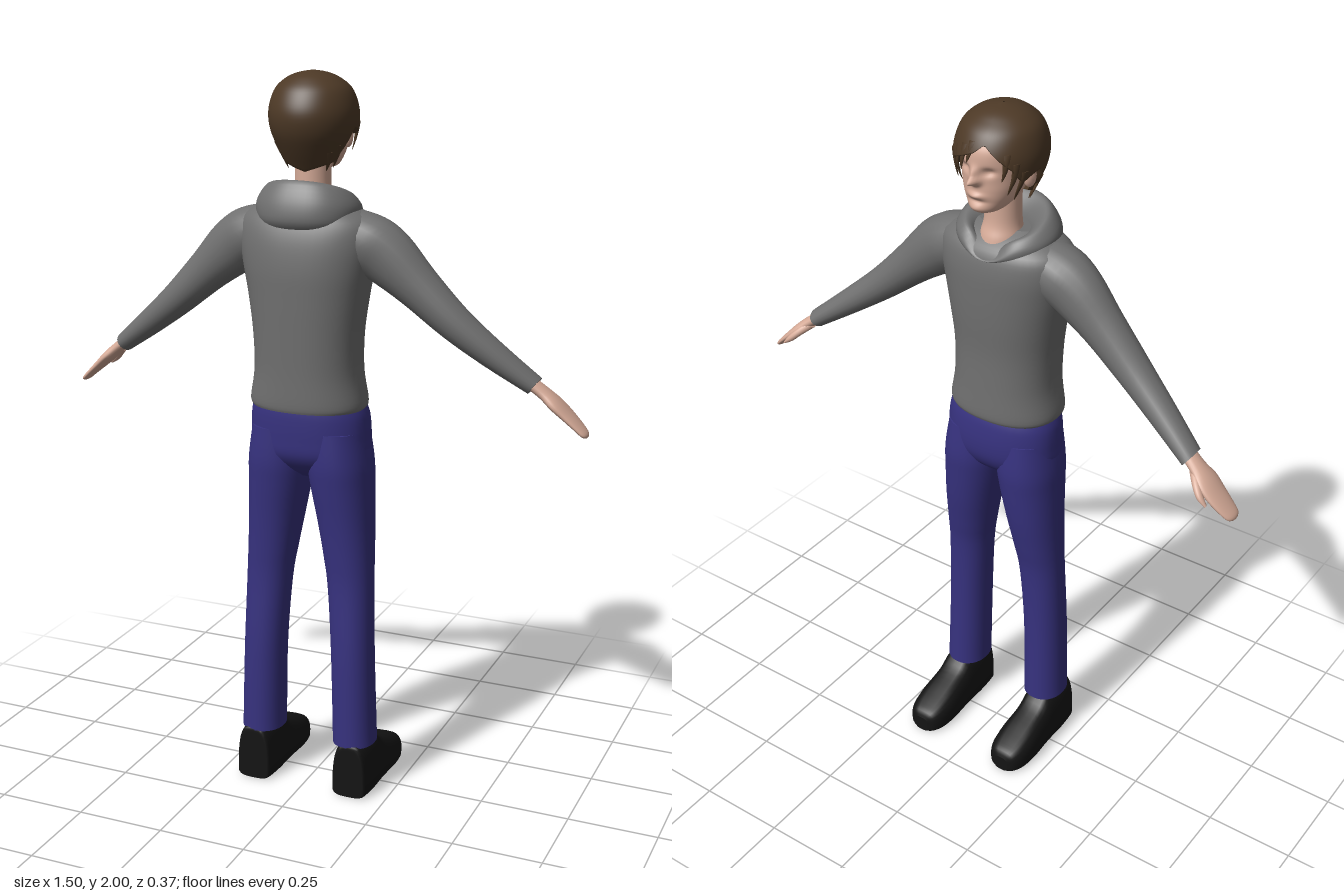
import * as THREE from 'three';

const mat = (color) => new THREE.MeshStandardMaterial({ color, side: THREE.DoubleSide });
const lerp = THREE.MathUtils.lerp;

// Smooth interpolation through rows of numbers, v in 0..1
function sample(rows, v) {
  const n = rows.length - 1, f = Math.min(v * n, n - 1e-6), i = Math.floor(f), t = f - i;
  const [p, a, b, q] = [rows[Math.max(i - 1, 0)], rows[i], rows[i + 1], rows[Math.min(i + 2, n)]];
  return a.map((_, k) => 0.5 * (2 * a[k] + (b[k] - p[k]) * t + (2 * p[k] - 5 * a[k] + 4 * b[k] - q[k]) * t * t
    + (3 * a[k] - p[k] - 3 * b[k] + q[k]) * t ** 3));
}

// Closed rings of points skinned into a surface, with optional flat caps
function skin(nu, nv, fn, caps = true) {
  const pos = [], idx = [];
  for (let j = 0; j <= nv; j++)
    for (let i = 0; i < nu; i++) pos.push(...fn((i / nu) * Math.PI * 2, j / nv));
  for (let j = 0; j < nv; j++)
    for (let i = 0; i < nu; i++) {
      const a = j * nu + i, b = j * nu + (i + 1) % nu;
      idx.push(a, b, a + nu, b, b + nu, a + nu);
    }
  if (caps) for (const j of [0, nv]) {
    const base = pos.length / 3, ring = pos.slice(j * nu * 3, (j + 1) * nu * 3), c = [0, 0, 0];
    ring.forEach((p, k) => { c[k % 3] += p / nu; });
    pos.push(...ring, ...c);
    for (let i = 0; i < nu; i++) {
      const a = base + i, b = base + (i + 1) % nu;
      idx.push(...(j ? [a, b, base + nu] : [b, a, base + nu]));
    }
  }
  // Turn the faces outward if the enclosed volume is negative
  const g = new THREE.BufferGeometry();
  g.setAttribute('position', new THREE.Float32BufferAttribute(pos, 3));
  g.computeBoundingBox();
  const mid = g.boundingBox.getCenter(new THREE.Vector3());
  const at = (i) => new THREE.Vector3().fromArray(pos, i * 3).sub(mid);
  let vol = 0;
  for (let k = 0; k < idx.length; k += 3) vol += at(idx[k]).dot(at(idx[k + 1]).cross(at(idx[k + 2])));
  g.setIndex(vol < 0 ? idx.reverse() : idx);
  g.computeVertexNormals();
  return g;
}

const pow = (c, e) => Math.sign(c) * Math.abs(c) ** e;

// Horizontal rings: [y, x0, x1, zFront, zBack]
const stack = (rows, e = 1, nu = 32, nv = 32) => skin(nu, nv, (t, v) => {
  const [y, x0, x1, zf, zb] = sample(rows, v);
  return [(x0 + x1) / 2 + (x1 - x0) / 2 * pow(Math.sin(t), e), y, (zf + zb) / 2 + (zf - zb) / 2 * pow(Math.cos(t), e)];
});
// The same, symmetric about x = 0: [y, halfWidth, zFront, zBack]
const trunk = (rows, e, nu, nv) => stack(rows.map(([y, r, f, b]) => [y, -r, r, f, b]), e, nu, nv);

// Rings across a path in the x-y direction: [x, y, z, thickness, depth], mirrored by side
const limb = (rows, side, nu = 20, nv = 24) => skin(nu, nv, (t, v) => {
  const [x, y, z, a, b] = sample(rows, v);
  const p = sample(rows, Math.max(v - 0.02, 0)), q = sample(rows, Math.min(v + 0.02, 1));
  const dx = q[0] - p[0], dy = q[1] - p[1], l = Math.hypot(dx, dy) || 1;
  return [side * (x - dy / l * a * Math.cos(t)), y + dx / l * a * Math.cos(t), z + b * Math.sin(t)];
});

export function createModel() {
  const group = new THREE.Group();
  const skinMat = mat(0xd6ab98), hairMat = mat(0x4d3926), topMat = mat(0x707070);
  const trouserMat = mat(0x37327f), shoeMat = mat(0x141414);
  const add = (name, geo, material) => {
    const m = new THREE.Mesh(geo, material);
    m.name = name;
    group.add(m);
    return m;
  };

  // Hooded top
  add('torso', trunk([
    [1.12, 0.157, -0.062, 0.172], [1.14, 0.161, -0.067, 0.176], [1.22, 0.148, -0.064, 0.177], [1.32, 0.15, -0.062, 0.18],
    [1.42, 0.163, -0.068, 0.183], [1.5, 0.178, -0.07, 0.184], [1.57, 0.19, -0.068, 0.176], [1.62, 0.185, -0.055, 0.16],
    [1.65, 0.145, -0.025, 0.14], [1.67, 0.09, 0.01, 0.11],
  ], 0.88, 48, 40), topMat);

  // Hood lying around the neck: profile rows [zFront, zBack, halfWidth, yFront, yBack]
  const hood = [
    [-0.05, 0.158, 0.125, 1.6, 1.6], [-0.063, 0.176, 0.138, 1.625, 1.63], [-0.06, 0.168, 0.14, 1.645, 1.68],
    [-0.046, 0.14, 0.116, 1.66, 1.728], [-0.036, 0.115, 0.092, 1.655, 1.72], [-0.028, 0.09, 0.07, 1.635, 1.68], [-0.01, 0.08, 0.055, 1.6, 1.62],
  ];
  add('hood', skin(64, 24, (t, v) => {
    const [zf, zb, r, yf, yb] = sample(hood, v), back = (1 - Math.cos(t)) / 2;
    const a = t > Math.PI ? t - 2 * Math.PI : t;
    const notch = 0.045 * Math.exp(-((a / 0.38) ** 2)) * Math.sin(Math.PI * v);
    return [r * pow(Math.sin(t), 0.85), lerp(yf, yb, back) - notch, (zf + zb) / 2 + (zf - zb) / 2 * Math.cos(t)];
  }, false), topMat);

  // Hips of the trousers
  add('hips', trunk([
    [1.14, 0.15, -0.05, 0.15], [1.1, 0.164, -0.062, 0.154], [1.04, 0.168, -0.067, 0.153], [0.99, 0.165, -0.06, 0.147],
    [0.95, 0.13, -0.035, 0.12], [0.92, 0.06, 0.01, 0.08],
  ], 0.88, 40), trouserMat);

  for (const s of [1, -1]) {
    const side = s > 0 ? 'left' : 'right';
    // Sleeve, hand and thumb
    add(side + 'Sleeve', limb([
      [0.1, 1.6, 0.05, 0.06, 0.075], [0.165, 1.567, 0.05, 0.078, 0.078], [0.22, 1.532, 0.047, 0.077, 0.068], [0.3, 1.462, 0.043, 0.06, 0.057],
      [0.4, 1.372, 0.034, 0.047, 0.05], [0.5, 1.293, 0.014, 0.037, 0.043], [0.605, 1.215, -0.014, 0.026, 0.036],
    ], s), topMat);
    add(side + 'Hand', limb([
      [0.59, 1.226, -0.012, 0.017, 0.024], [0.63, 1.196, -0.02, 0.016, 0.029], [0.66, 1.17, -0.024, 0.016, 0.041],
      [0.69, 1.143, -0.028, 0.013, 0.04], [0.72, 1.116, -0.028, 0.01, 0.034], [0.74, 1.097, -0.026, 0.008, 0.026], [0.747, 1.09, -0.025, 0.003, 0.01],
    ], s), skinMat);
    add(side + 'Thumb', limb([
      [0.62, 1.195, -0.028, 0.012, 0.014], [0.645, 1.174, -0.055, 0.011, 0.014], [0.667, 1.152, -0.072, 0.009, 0.011], [0.688, 1.133, -0.077, 0.003, 0.004],
    ], s, 12, 12), skinMat);

    // Trouser leg
    const leg = [
      [1.06, 0.005, 0.16, -0.055, 0.145], [0.97, 0, 0.174, -0.063, 0.147], [0.9, 0.008, 0.177, -0.058, 0.14], [0.8, 0.027, 0.18, -0.046, 0.128],
      [0.7, 0.045, 0.183, -0.028, 0.12], [0.6, 0.06, 0.186, -0.012, 0.117], [0.4, 0.074, 0.192, -0.006, 0.126], [0.15, 0.08, 0.2, -0.011, 0.128],
    ].map(([y, a, b, f, k]) => (s > 0 ? [y, a, b, f, k] : [y, -b, -a, f, k]));
    add(side + 'Leg', stack(leg, 0.92), trouserMat);

    // Shoe, sections from heel to toe: [z, halfWidth, height]
    const shoe = [
      [0.128, 0.04, 0.145], [0.12, 0.05, 0.16], [0.06, 0.056, 0.165], [0.01, 0.056, 0.16], [-0.03, 0.057, 0.128],
      [-0.1, 0.061, 0.1], [-0.15, 0.056, 0.08], [-0.178, 0.042, 0.066], [-0.188, 0.022, 0.048],
    ];
    add(side + 'Shoe', skin(28, 32, (t, v) => {
      const [z, w, h] = sample(shoe, v), up = Math.sin(t);
      const y = up > 0 ? lerp(0.03, h, up ** 0.8) : 0.03 - 0.03 * (-up) ** 0.4;
      return [s * (0.147 + w * pow(Math.cos(t), 0.6)), y, z];
    }), shoeMat);

    // Ear
    const ear = add(side + 'Ear', new THREE.SphereGeometry(1, 16, 12), skinMat);
    ear.scale.set(0.013, 0.03, 0.019);
    ear.position.set(s * 0.091, 1.835, 0.012);
    ear.rotation.y = s * 0.3;
  }

  // Neck
  add('neck', trunk([[1.6, 0.06, -0.045, 0.08], [1.65, 0.056, -0.034, 0.082], [1.7, 0.048, -0.02, 0.079], [1.82, 0.048, -0.02, 0.08]]), skinMat);

  // Head, with the features pushed in and out of the face by soft bumps
  const head = trunk([
    [1.744, 0.02, -0.065, -0.01], [1.752, 0.042, -0.085, 0.03], [1.78, 0.064, -0.09, 0.07], [1.81, 0.077, -0.091, 0.09], [1.84, 0.085, -0.091, 0.11],
    [1.88, 0.089, -0.096, 0.125], [1.92, 0.09, -0.09, 0.125], [1.955, 0.07, -0.06, 0.1], [1.975, 0.03, 0, 0.06],
  ], 0.95, 96, 72);
  const bumps = [ // [x, y, spreadX, spreadY, push]
    [0, 1.838, 0.013, 0.011, 0.032], [0, 1.858, 0.011, 0.016, 0.014], [0, 1.797, 0.022, 0.008, 0.009], [0, 1.762, 0.025, 0.01, 0.006],
    [0.034, 1.863, 0.016, 0.011, -0.012], [-0.034, 1.863, 0.016, 0.011, -0.012], [0, 1.781, 0.025, 0.006, -0.005],
  ];
  const p = head.attributes.position;
  for (let i = 0; i < p.count; i++) {
    if (p.getZ(i) > -0.01) continue;
    let push = 0;
    for (const [x, y, sx, sy, d] of bumps) push += d * Math.exp(-(((p.getX(i) - x) / sx) ** 2) - ((p.getY(i) - y) / sy) ** 2);
    p.setZ(i, p.getZ(i) - push);
  }
  head.computeVertexNormals();
  add('head', head, skinMat);

  // Hair volume: [y, halfWidth, zFront, zBack]
  const volume = Array.from({ length: 81 }, (_, i) => sample([
    [2, 0.002, 0.028, 0.032], [1.993, 0.04, -0.012, 0.073], [1.978, 0.073, -0.045, 0.103], [1.95, 0.101, -0.08, 0.132], [1.9, 0.116, -0.104, 0.152],
    [1.85, 0.113, -0.105, 0.146], [1.8, 0.097, -0.098, 0.12], [1.74, 0.073, -0.06, 0.08],
  ], i / 80));
  const hairPoint = (t, y, k = 1) => {
    let i = 0;
    while (i < 79 && volume[i + 1][0] > y) i++;
    const f = THREE.MathUtils.clamp((volume[i][0] - y) / (volume[i][0] - volume[i + 1][0]), 0, 1);
    const [, r, zf, zb] = volume[i].map((c, n) => lerp(c, volume[i + 1][n], f));
    return [k * r * Math.sin(t), y, (zf + zb) / 2 + k * (zf - zb) / 2 * Math.cos(t)];
  };
  // Lower hairline by angle from the parting
  const line = [[0, 1.935], [0.4, 1.905], [0.8, 1.875], [1.15, 1.835], [1.35, 1.85], [1.6, 1.858], [1.85, 1.815], [2.15, 1.772], [3.15, 1.745]];
  const edge = (t) => {
    const raw = Math.abs(t > Math.PI ? t - 2 * Math.PI : t);
    const a = raw < 1 ? Math.abs((t > Math.PI ? t - 2 * Math.PI : t) + 0.3 * (1 - raw)) : raw;
    const i = Math.min(line.findIndex((q) => q[0] >= a - 1e-9) || 1, line.length - 1);
    return lerp(line[i - 1][1], line[i][1], (a - line[i - 1][0]) / (line[i][0] - line[i - 1][0]));
  };
  add('hair', skin(96, 30, (t, v) => {
    const w = Math.min(v / 0.95, 1), y = lerp(2, edge(t), w ** 1.7);
    return hairPoint(t, y, v > 0.97 ? 0.82 : 1);
  }, false), hairMat);

  // Loose strands along the fringe, temples and nape: [angle, length]
  const strands = [
    [-0.75, 0.04], [-0.95, 0.055], [-1.15, 0.05], [0.1, 0.025], [0.3, 0.04], [0.5, 0.035], [0.7, 0.045], [0.9, 0.05], [1.12, 0.045],
    [2.05, 0.03], [2.3, 0.02], [-2.05, 0.03], [-2.3, 0.02],
  ];
  for (const [t, len] of strands) {
    const y0 = edge(t < 0 ? t + 2 * Math.PI : t) + 0.03;
    add('hairStrand', skin(8, 8, (u, v) => {
      const y = y0 - v * (len + 0.03), r = 0.011 * (1 - v) ** 0.7 + 0.0005;
      const c = hairPoint(t + 0.08 * v * v, Math.max(y, 1.745), 0.97);
      const a = r * Math.cos(u), b = 0.5 * r * Math.sin(u);
      return [c[0] + a * Math.cos(t) + b * Math.sin(t), y, c[2] + a * Math.sin(t) - b * Math.cos(t)];
    }), hairMat);
  }
  return group;
}
